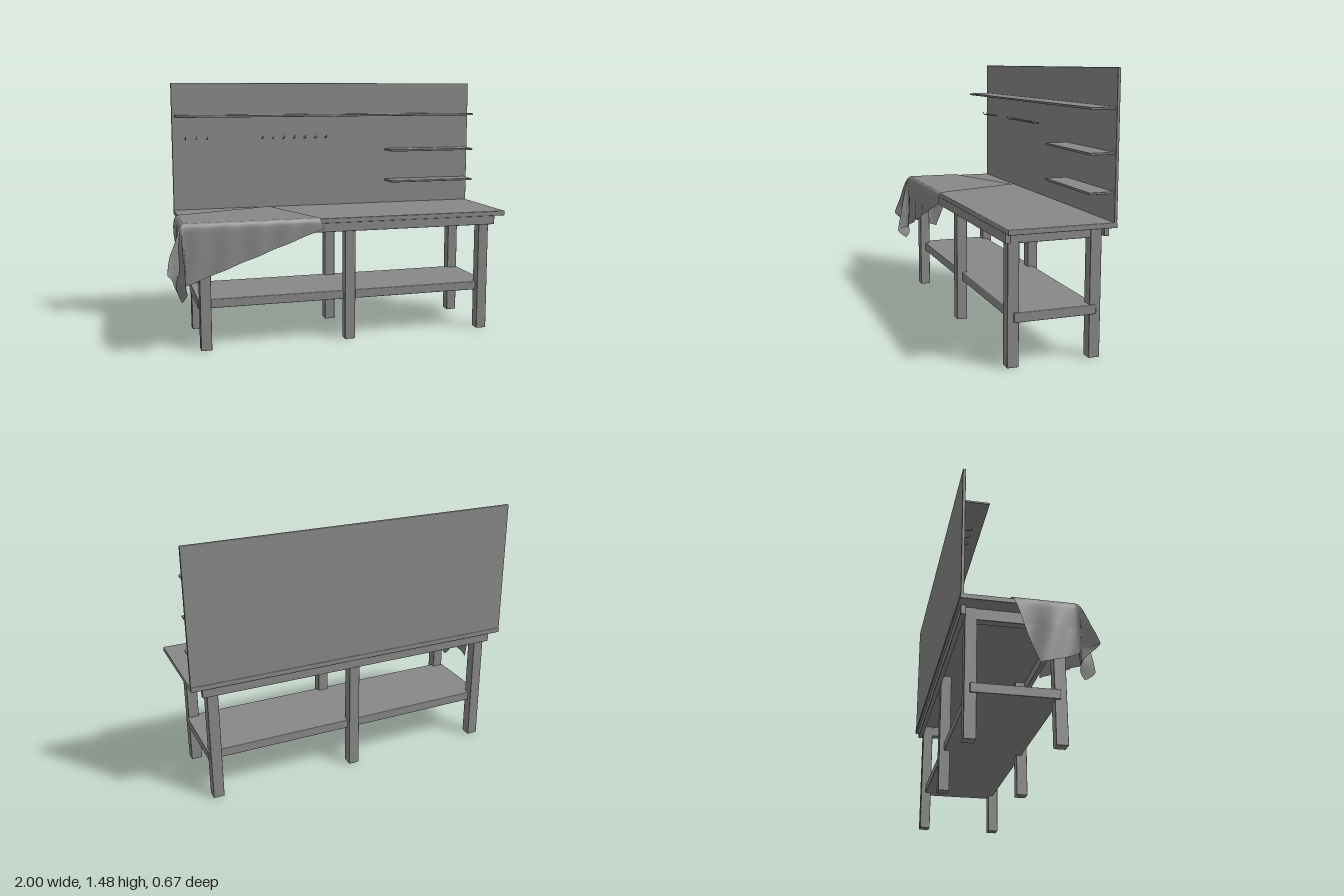
import * as THREE from 'three';
import { RoundedBoxGeometry } from 'three/addons/geometries/RoundedBoxGeometry.js';

const wood = new THREE.MeshStandardMaterial({ color: 0x888888 });
const fabric = new THREE.MeshStandardMaterial({ color: 0x888888, side: THREE.DoubleSide });

// Softly bevelled board given by its min and max along each axis
function board(parent, name, [x0, x1], [y0, y1], [z0, z1], radius = 0.004) {
  const geometry = new RoundedBoxGeometry(x1 - x0, y1 - y0, z1 - z0, 2, radius);
  const mesh = new THREE.Mesh(geometry, wood);
  mesh.position.set((x0 + x1) / 2, (y0 + y1) / 2, (z0 + z1) / 2);
  mesh.name = name;
  parent.add(mesh);
}

const TOP = 0.72, LEFT = -0.905, RIGHT = 0.998, FRONT = 0.24, BACK = -0.337;

// Folds at the table corner: [angle in degrees, sideways lean in x, lean in z]
const folds = [[0, 0, 0], [27, -0.26, 0.24], [64, -0.03, -0.04], [80, 0.08, 0.21], [90, 0.04, 0]];

function foldLean(degrees) {
  let i = 0;
  while (i < folds.length - 2 && degrees > folds[i + 1][0]) i++;
  const [a, b] = [folds[i], folds[i + 1]];
  const t = THREE.MathUtils.smoothstep(degrees, a[0], b[0]);
  return [THREE.MathUtils.lerp(a[1], b[1], t), THREE.MathUtils.lerp(a[2], b[2], t)];
}

// Rectangular cloth laid askew on the table, hanging over the front and one end
function createCloth() {
  const corner = new THREE.Vector2(-0.33, -0.29);
  const along = new THREE.Vector2(-0.935, 0.34);
  const across = new THREE.Vector2(0.205, 0.59);
  const geometry = new THREE.PlaneGeometry(1, 1, 130, 90);
  const pos = geometry.attributes.position;
  const bulge = (d, size) => size * (1 - Math.exp(-d / 0.014));
  for (let i = 0; i < pos.count; i++) {
    const u = pos.getX(i) + 0.5, v = pos.getY(i) + 0.5;
    const px = corner.x + along.x * u + across.x * v;
    const pz = corner.y + along.y * u + across.y * v;
    const a = Math.max(0, LEFT - px), b = Math.max(0, pz - FRONT);
    const r = Math.hypot(a, b);
    const [lx, lz] = a > 0 && b > 0 ? foldLean(THREE.MathUtils.radToDeg(Math.atan2(b, a))) : [0, 0];
    // Gentle ripples that grow with the hanging length
    const rippleZ = Math.min(b, 0.15) * 0.04 * Math.sin(px * 38 + b * 9);
    const rippleX = Math.min(a, 0.15) * 0.06 * Math.sin(pz * 30 + a * 7);
    pos.setXYZ(i,
      Math.max(px, LEFT) - bulge(a, 0.024) + r * lx + rippleX,
      TOP + 0.006 - r * Math.sqrt(1 - lx * lx - lz * lz),
      Math.min(pz, FRONT) + bulge(b, 0.018) + r * lz + rippleZ);
  }
  geometry.computeVertexNormals();
  const mesh = new THREE.Mesh(geometry, fabric);
  mesh.name = 'cloth';
  return mesh;
}

export function createModel() {
  const model = new THREE.Group();
  model.name = 'workbench';

  // Table top, aprons and lower shelf
  board(model, 'tableTop', [LEFT, RIGHT], [0.692, TOP], [BACK, FRONT]);
  board(model, 'frontApron', [-0.84, 0.935], [0.64, 0.695], [0.203, 0.232]);
  board(model, 'backApron', [-0.84, 0.935], [0.64, 0.695], [-0.323, -0.295]);
  board(model, 'lowerShelf', [-0.828, 0.914], [0.233, 0.284], [-0.27, 0.177]);

  // Three pairs of legs, joined by a cross apron at each end
  const legCentres = [-0.789, 0.043, 0.875];
  for (const x of legCentres) {
    for (const z of [0.178, -0.267]) {
      board(model, 'leg', [x - 0.031, x + 0.031], [0, 0.693], [z - 0.031, z + 0.031]);
    }
  }
  for (const x of [legCentres[0], legCentres[2]]) {
    board(model, 'endApron', [x - 0.025, x + 0.025], [0.63, 0.694], [-0.24, 0.15]);
  }

  // Back panel with its shelves
  board(model, 'backPanel', [LEFT, RIGHT], [0.715, 1.476], [-0.334, -0.317]);
  for (const [x0, y] of [[-0.89, 1.281], [0.43, 1.06], [0.43, 0.866]]) {
    board(model, 'wallShelf', [x0, 0.979], [y - 0.006, y + 0.006], [-0.319, -0.187], 0.003);
  }

  // Small bent hooks
  const hookPath = new THREE.CatmullRomCurve3([
    new THREE.Vector3(0, 1.143, -0.32), new THREE.Vector3(0, 1.142, -0.29),
    new THREE.Vector3(0, 1.142, -0.277), new THREE.Vector3(0, 1.147, -0.271),
    new THREE.Vector3(0, 1.159, -0.267),
  ]);
  const hookGeometry = new THREE.TubeGeometry(hookPath, 12, 0.0025, 8);
  const tipGeometry = new THREE.SphereGeometry(0.0025, 8, 6);
  for (const x of [-0.83, -0.764, -0.699, -0.366, -0.3, -0.234, -0.168, -0.101, -0.034, 0.032]) {
    const hook = new THREE.Group();
    hook.name = 'hook';
    const wire = new THREE.Mesh(hookGeometry, wood);
    wire.name = 'hookWire';
    const tip = new THREE.Mesh(tipGeometry, wood);
    tip.name = 'hookTip';
    tip.position.set(0, 1.159, -0.267);
    hook.add(wire, tip);
    hook.position.x = x;
    model.add(hook);
  }

  model.add(createCloth());
  return model;
}
